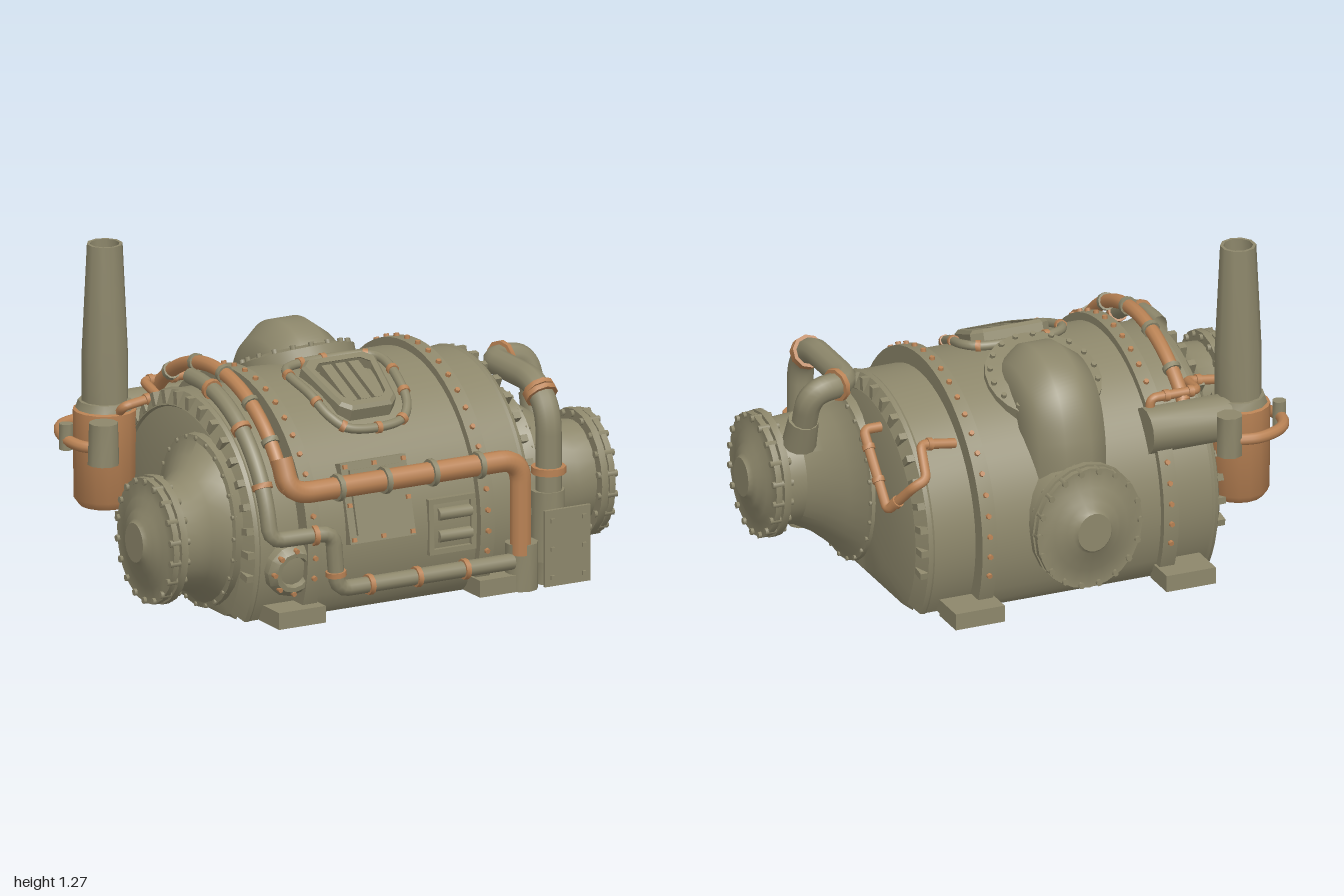
import * as THREE from 'three';
import { mergeGeometries, toCreasedNormals } from 'three/addons/utils/BufferGeometryUtils.js';

const CY = 0.275, CZ = 0.04; // axis of the drum
const TALL = 1.12; // nozzles and flanges are slightly taller than wide
const V = (x, y, z) => new THREE.Vector3(x, y, z);
const UP = V(0, 1, 0);

export function createModel() {
  const olive = new THREE.MeshStandardMaterial({ color: 0x8d876b, side: THREE.DoubleSide });
  olive.name = 'olive metal';
  const copper = new THREE.MeshStandardMaterial({ color: 0xb98254, side: THREE.DoubleSide });
  copper.name = 'copper';
  const model = new THREE.Group();
  model.name = 'boiler';

  const add = (name, geo, mat = olive, parent = model) => {
    const m = new THREE.Mesh(geo, mat);
    m.name = name;
    parent.add(m);
    return m;
  };
  const crease = (g, a = 0.8) => toCreasedNormals(g, a);
  const box = (name, x0, x1, y0, y1, z0, z1, mat = olive, parent = model) =>
    add(name, new THREE.BoxGeometry(x1 - x0, y1 - y0, z1 - z0)
      .translate((x0 + x1) / 2, (y0 + y1) / 2, (z0 + z1) / 2), mat, parent);
  const lathe = (pts, n = 24) =>
    new THREE.LatheGeometry(pts.map(p => new THREE.Vector2(p[0], p[1])), n);
  const post = (name, r0, r1, y0, y1, x, z, mat = olive, n = 12) =>
    add(name, crease(new THREE.CylinderGeometry(r1, r0, y1 - y0, n).translate(x, (y0 + y1) / 2, z)), mat);
  // point on the drum: angle from the top towards the front
  const onDrum = (x, a, r) => V(x, CY + r * Math.cos(a), CZ + r * Math.sin(a));
  const drumArc = (x, a0, a1, r, n = 10) =>
    Array.from({ length: n + 1 }, (_, i) => onDrum(x, a0 + (a1 - a0) * i / n, r));
  // group whose local +y points out of the drum
  const drumMount = (name, x, a, r) => {
    const g = new THREE.Group();
    g.name = name;
    g.position.copy(onDrum(x, a, r));
    g.rotation.x = a;
    model.add(g);
    return g;
  };

  // pipe with rounded corners and clamp rings
  const pipe = (name, pts, r, { mat = olive, bend = 0.06, clamps = [], clampMat = copper, parent = model, closed = false, smooth = false } = {}) => {
    let path;
    if (smooth || closed) path = new THREE.CatmullRomCurve3(pts, closed);
    else {
      path = new THREE.CurvePath();
      let at = pts[0];
      for (let i = 1; i < pts.length - 1; i++) {
        const cut = q => pts[i].clone().lerp(q, Math.min(0.48, bend / pts[i].distanceTo(q)));
        const a = cut(pts[i - 1]), b = cut(pts[i + 1]);
        path.add(new THREE.LineCurve3(at, a));
        path.add(new THREE.QuadraticBezierCurve3(a, pts[i], b));
        at = b;
      }
      path.add(new THREE.LineCurve3(at, pts[pts.length - 1]));
    }
    add(name, new THREE.TubeGeometry(path, 90, r, 10, closed), mat, parent);
    const rings = clamps.map(t => {
      const p = path.getPointAt(t);
      const q = new THREE.Quaternion().setFromUnitVectors(UP, path.getTangentAt(t));
      return new THREE.CylinderGeometry(r * 1.28, r * 1.28, 0.02, 10).applyQuaternion(q).translate(p.x, p.y, p.z);
    });
    if (rings.length) add(name + ' clamps', crease(mergeGeometries(rings)), clampMat, parent);
  };
  // bolts standing on local +y around a circle
  const boltRing = (name, r, n, y0, y1, s, mat, parent) => add(name, mergeGeometries(
    Array.from({ length: n }, (_, i) => new THREE.CylinderGeometry(s, s, y1 - y0, 6)
      .translate(r, (y0 + y1) / 2, 0).rotateY(i / n * Math.PI * 2)).map(g => g.toNonIndexed())), mat, parent);
  const flange = (name, parent) => {
    const g = new THREE.Group();
    g.name = name;
    add('flange discs', crease(lathe([[0.165, 0], [0.22, 0], [0.22, 0.028], [0.195, 0.028], [0.195, 0.036], [0.216, 0.036],
      [0.216, 0.06], [0.165, 0.06], [0.15, 0.072], [0.118, 0.076], [0.105, 0.09], [0.08, 0.094], [0.068, 0.11], [0, 0.11]], 20)), olive, g);
    boltRing('flange bolts', 0.205, 18, -0.012, 0.072, 0.012, olive, g);
    parent.add(g);
    return g;
  };

  // drum shell, open underneath, ends trimmed on the ground
  const flattenBelow = g => {
    const p = g.attributes.position;
    for (let i = 0; i < p.count; i++) p.setY(i, Math.max(0, p.getY(i)));
    g.computeVertexNormals();
    return g;
  };
  const A = 123 * Math.PI / 180;
  const drum = (prof, whole) => crease(flattenBelow(new THREE.LatheGeometry(
    prof.map(p => new THREE.Vector2(p[0], p[1])), 40, whole ? 0 : 1.5 * Math.PI - A, whole ? Math.PI * 2 : 2 * A)
    .rotateZ(-Math.PI / 2).translate(0, CY, CZ)), 0.5);
  add('drum shell', drum([[0.505, -0.58], [0.505, -0.4], [0.57, -0.4], [0.57, -0.34], [0.54, -0.34],
    [0.54, 0.34], [0.57, 0.34], [0.57, 0.4], [0.505, 0.4], [0.505, 0.58]]));

  // strap rivets
  const rivets = [];
  for (const x of [-0.37, 0.37]) for (let i = 0; i < 26; i++) {
    const a = -1.75 + 3.5 * i / 25, p = onDrum(x, a, 0.572);
    rivets.push(new THREE.CylinderGeometry(0.01, 0.012, 0.018, 6).rotateX(a).translate(p.x, p.y, p.z));
  }
  add('strap rivets', mergeGeometries(rivets), copper);

  // both ends: rim, cap, skewed nozzle and flange
  for (const s of [-1, 1]) {
    const end = new THREE.Group();
    end.name = s > 0 ? 'left end' : 'right end';
    end.scale.x = s;
    model.add(end);
    add('end rim', drum([[0.505, 0.565], [0.512, 0.575], [0.505, 0.59], [0.45, 0.62], [0.44, 0.605]]), olive, end);
    add('end cap', drum([[0.47, 0.6], [0.44, 0.612], [0.25, 0.634], [0, 0.642]], true), olive, end);
    const blocks = [];
    for (let i = 0; i < 20; i++) {
      const a = -1.75 + 3.5 * i / 19, p = onDrum(0.606, a, 0.48);
      blocks.push(new THREE.BoxGeometry(0.03, 0.05, 0.026).rotateX(a).translate(p.x, p.y, p.z));
    }
    add('rim blocks', mergeGeometries(blocks), olive, end);
    const nozzle = lathe([[0.295, 0.6], [0.295, 0.65], [0.275, 0.655], [0.24, 0.7], [0.208, 0.75], [0.187, 0.81], [0.18, 0.9]], 28)
      .rotateZ(-Math.PI / 2).scale(1, TALL, 1);
    const p = nozzle.attributes.position;
    for (let i = 0; i < p.count; i++)
      p.setZ(i, p.getZ(i) + 0.197 + 0.148 * THREE.MathUtils.smoothstep(p.getX(i), 0.6, 0.84));
    nozzle.translate(0, 0.337, 0).computeVertexNormals();
    add('nozzle', crease(nozzle, 0.6), olive, end);
    const studs = new THREE.Group();
    studs.name = 'nozzle studs';
    studs.position.set(0.64, 0.337, 0.212);
    studs.rotation.z = -Math.PI / 2;
    studs.scale.x = TALL;
    end.add(studs);
    boltRing('studs', 0.286, 24, 0, 0.02, 0.008, olive, studs);
    const f = flange('end flange', end);
    f.position.set(0.885, 0.336, 0.345);
    f.rotation.z = -Math.PI / 2;
    f.scale.x = TALL;
  }

  // back outlet
  const back = flange('back flange', model);
  back.position.set(0, 0.336, -0.556);
  back.rotation.x = -Math.PI / 2;
  back.scale.set(1, 0.93, TALL);
  add('back neck', crease(lathe([[0.2, -0.13], [0.195, -0.05], [0.182, 0.02]])), olive, back);
  // elbow duct on the upper back
  pipe('elbow duct', [V(0, 0.64, -0.085), V(0, 0.735, -0.145), V(0, 0.757, -0.22), V(0, 0.72, -0.305), V(0, 0.61, -0.352), V(0, 0.4, -0.36)],
    0.167, { smooth: true });
  const collar = drumMount('elbow collar', 0, -0.42, 0.53);
  add('collar plate', crease(lathe([[0.222, -0.06], [0.222, 0.03], [0.16, 0.045]])), olive, collar);
  boltRing('collar bolts', 0.203, 18, 0.02, 0.048, 0.011, olive, collar);

  // skid rails on feet
  for (const s of [-1, 1]) {
    const x = s * 0.43;
    for (const z of [-0.5, 0.545]) box('foot', x - 0.1, x + 0.1, 0, 0.065, z - 0.075, z + 0.075);
    for (const d of [-0.075, 0.075]) box('skid rail', x + d - 0.02, x + d + 0.02, 0.005, 0.06, -0.45, 0.5);
    box('skid web', x - 0.06, x + 0.06, 0.03, 0.045, -0.45, 0.5);
  }

  // top vent with pipe surround
  const vent = drumMount('top vent', -0.01, 0.4, 0.54);
  const trapezoid = (w0, w1, h) => [[-w0 + 0.03, -h], [w0 - 0.03, -h], [w0, 0.03 - h], [w1, h - 0.03], [w1 - 0.03, h],
    [0.03 - w1, h], [-w1, h - 0.03], [-w0, 0.03 - h]];
  const shapeOf = (Type, pts) => new Type(pts.map(q => new THREE.Vector2(q[0], -q[1])));
  const frame = shapeOf(THREE.Shape, trapezoid(0.145, 0.11, 0.145));
  frame.holes.push(shapeOf(THREE.Path, trapezoid(0.118, 0.09, 0.118)));
  add('vent frame', new THREE.ExtrudeGeometry(frame, { depth: 0.06, bevelSize: 0.013, bevelThickness: 0.013, bevelSegments: 1 })
    .rotateX(-Math.PI / 2).translate(0, -0.035, 0), olive, vent);
  for (const x of [-0.058, 0, 0.058]) box('vent bar', x - 0.021, x + 0.021, -0.03, 0.032, -0.11, 0.11, olive, vent);
  const loop = [[-0.15, -0.195], [0.15, -0.195], [0.2, -0.15], [0.19, 0.02], [0.165, 0.14], [0.11, 0.2], [-0.11, 0.2], [-0.165, 0.14], [-0.19, 0.02], [-0.2, -0.15]];
  pipe('vent surround', loop.map(([x, z]) => V(x, 0.014 - z * z * 0.9, z)), 0.018,
    { closed: true, parent: vent, clamps: [0.03, 0.1, 0.22, 0.33, 0.42, 0.52, 0.6, 0.7, 0.8, 0.93] });

  // front hatch
  const hatch = drumMount('front hatch', -0.08, 1.3, 0.535);
  box('hatch frame', -0.14, 0.14, -0.03, 0.022, -0.16, 0.145, olive, hatch);
  box('hatch door', -0.11, 0.11, 0, 0.035, -0.13, 0.115, olive, hatch);
  for (const x of [-0.125, 0, 0.125]) for (const z of [-0.145, 0, 0.13])
    if (x || z) box('hatch bolt', x - 0.008, x + 0.008, 0.02, 0.034, z - 0.008, z + 0.008, copper, hatch);

  // front louvre with two rounded slats
  const louvre = drumMount('front louvre', 0.23, 1.54, 0.535);
  for (const s of [-1, 1]) {
    box('louvre side', s * 0.09 - 0.01, s * 0.09 + 0.01, -0.02, 0.016, -0.105, 0.105, olive, louvre);
    box('louvre edge', -0.1, 0.1, -0.02, 0.016, s * 0.097 - 0.01, s * 0.097 + 0.01, olive, louvre);
    add('louvre slat', crease(new THREE.CylinderGeometry(0.024, 0.024, 0.14, 12).rotateZ(Math.PI / 2)
      .translate(0.015, 0, s * 0.042)), olive, louvre);
  }

  // round porthole
  const port = drumMount('porthole', -0.445, 1.7, 0.505);
  add('porthole body', crease(lathe([[0.104, -0.03], [0.104, 0.03], [0.08, 0.055], [0.062, 0.055], [0.055, 0.035], [0, 0.045]], 12)), olive, port);
  boltRing('porthole bolts', 0.086, 8, 0.03, 0.06, 0.01, copper, port);

  // long copper main across the drum and front
  pipe('copper riser', [...drumArc(-0.48, -0.82, 1.1, 0.59, 16), V(-0.475, 0.53, 0.6)], 0.027,
    { mat: copper, smooth: true, clamps: [0.12, 0.3, 0.48, 0.66, 0.82], clampMat: olive });
  pipe('copper main', [V(-0.48, 0.64, 0.55), V(-0.47, 0.51, 0.6), V(0.515, 0.51, 0.6), V(0.515, 0.14, 0.6)], 0.041,
    { mat: copper, bend: 0.09, clamps: [0.22, 0.36, 0.5, 0.64], clampMat: olive });
  post('copper main base', 0.063, 0.063, 0, 0.18, 0.53, 0.58, olive, 10);

  // olive service pipe down the front
  pipe('service pipe', [...drumArc(-0.55, -0.1, 1.25, 0.555, 8), V(-0.55, 0.34, 0.59), V(-0.29, 0.34, 0.605), V(-0.27, 0.115, 0.6), V(0.48, 0.115, 0.6)],
    0.031, { bend: 0.05, clamps: [0.08, 0.2, 0.32, 0.5, 0.61, 0.7, 0.8, 0.9] });

  // side exhaust pipe from the front tank to the left nozzle
  pipe('exhaust pipe', [V(0.655, 0.3, 0.565), V(0.655, 0.66, 0.565), V(0.655, 0.755, 0.465), V(0.655, 0.755, 0.12), V(0.82, 0.745, 0.105), V(0.825, 0.5, 0.19)], 0.05,
    { bend: 0.08, clamps: [0.36, 0.375, 0.71] });
  post('exhaust tank', 0.066, 0.066, 0.09, 0.36, 0.655, 0.555, olive, 10);
  post('exhaust tank foot', 0.05, 0.05, 0, 0.09, 0.655, 0.56, olive, 10);
  post('exhaust joint', 0.066, 0.066, 0.425, 0.452, 0.655, 0.565, copper);
  const socket = post('exhaust socket', 0.065, 0.058, -0.06, 0.06, 0, 0);
  socket.position.set(0.825, 0.56, 0.175);
  socket.rotation.x = -0.35;
  box('front plate', 0.6, 0.795, 0.005, 0.3, 0.622, 0.636);
  for (const x of [0.63, 0.765]) for (const y of [0.04, 0.15, 0.26]) box('plate bolt', x - 0.008, x + 0.008, y - 0.008, y + 0.008, 0.634, 0.645);

  // thin copper lines
  pipe('left copper line', [V(0.42, 0.64, -0.32), V(0.56, 0.66, -0.32), V(0.58, 0.56, -0.42), V(0.63, 0.54, -0.42), V(0.69, 0.41, -0.31), V(0.69, 0.65, -0.09), V(0.62, 0.65, -0.09)],
    0.019, { mat: copper, bend: 0.025, clamps: [0.12, 0.5, 0.7, 0.85] });
  pipe('right copper line', [V(-0.34, 0.6, -0.385), V(-0.35, 0.71, -0.385), V(-0.54, 0.71, -0.385), V(-0.555, 0.69, -0.25), V(-0.7, 0.67, -0.25), V(-0.7, 0.6, -0.33)],
    0.018, { mat: copper, bend: 0.025, clamps: [0.25, 0.4, 0.7] });

  // chimney on a copper pot
  add('chimney', crease(lathe([[0.088, 0.6], [0.088, 0.85], [0.068, 1.27], [0.056, 1.27], [0.056, 1.1], [0, 1.1]], 10).translate(-0.706, 0, -0.385)));
  add('chimney pot', crease(lathe([[0, 0.255], [0.095, 0.26], [0.117, 0.29], [0.12, 0.63], [0.08, 0.64]], 16).translate(-0.706, 0, -0.385)), copper);
  post('chimney collar', 0.11, 0.1, 0.635, 0.665, -0.706, -0.385);
  add('chimney duct', crease(new THREE.CylinderGeometry(0.09, 0.09, 0.33, 14).rotateZ(Math.PI / 2).translate(-0.48, 0.59, -0.405)));
  post('back valve', 0.05, 0.05, 0.49, 0.65, -0.61, -0.52, olive, 8);
  post('side valve', 0.06, 0.055, 0.47, 0.63, -0.805, -0.22, olive, 10);
  post('small valve', 0.027, 0.027, 0.5, 0.6, -0.88, -0.37, olive, 8);
  pipe('pot loop', [V(-0.61, 0.55, -0.53), V(-0.72, 0.55, -0.55), V(-0.83, 0.55, -0.5), V(-0.88, 0.54, -0.38), V(-0.86, 0.53, -0.28), V(-0.8, 0.53, -0.22)], 0.022,
    { mat: copper, smooth: true });
  return model;
}
